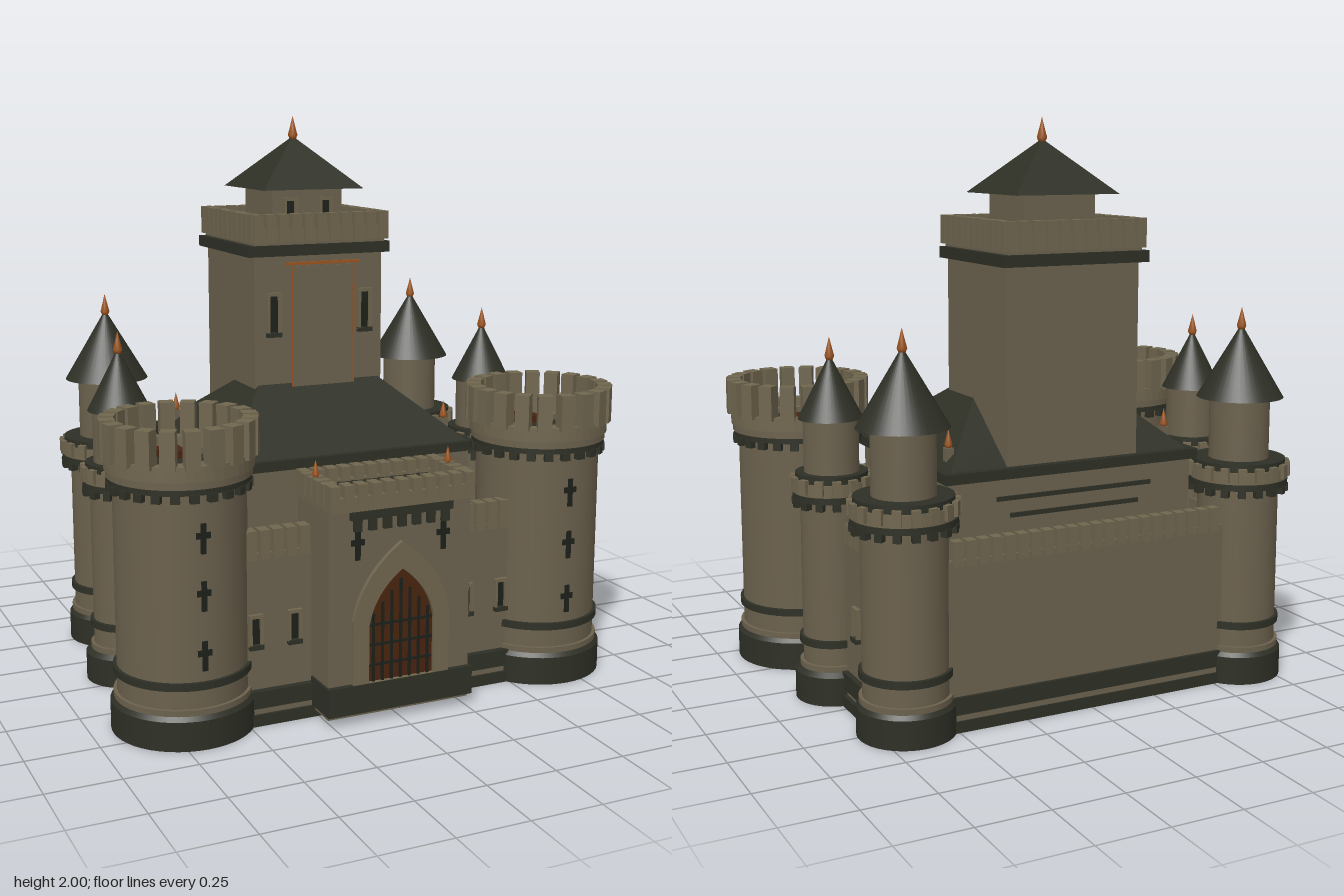
import * as THREE from 'three';

const mat = (name, color) => Object.assign(new THREE.MeshStandardMaterial({ color }), { name });
const stone = mat('stone', 0x6b614d);
const trim = mat('pale stone', 0x70664f);
const slate = mat('slate', 0x2e3026);
const slit = mat('shadow slit', 0x1d201a);
const wood = mat('wood', 0x4a2410);
const copper = mat('copper', 0x9c5520);

function add(parent, name, geo, material, x = 0, y = 0, z = 0, ry = 0) {
  const m = new THREE.Mesh(geo, material);
  m.name = name;
  m.position.set(x, y, z);
  m.rotation.y = ry;
  parent.add(m);
  return m;
}

// box given by its limits on each axis
function box(parent, name, material, x0, x1, y0, y1, z0, z1) {
  return add(parent, name, new THREE.BoxGeometry(x1 - x0, y1 - y0, z1 - z0), material,
    (x0 + x1) / 2, (y0 + y1) / 2, (z0 + z1) / 2);
}

function drum(parent, name, material, r, y0, y1, rTop = r) {
  return add(parent, name, new THREE.CylinderGeometry(rTop, r, y1 - y0, 48), material, 0, (y0 + y1) / 2, 0);
}

// hollow ring with a square section
function ring(parent, name, material, r0, r1, y0, y1) {
  const s = new THREE.Shape().absarc(0, 0, r1, 0, Math.PI * 2);
  s.holes.push(new THREE.Path().absarc(0, 0, r0, 0, Math.PI * 2, true));
  const g = new THREE.ExtrudeGeometry(s, { depth: y1 - y0, bevelEnabled: false, curveSegments: 24 });
  add(parent, name, g.rotateX(-Math.PI / 2), material, 0, y0, 0);
}

function blockRing(parent, name, material, n, r, w, d, y0, y1) {
  for (let i = 0; i < n; i++) {
    const a = ((i + 0.5) / n) * Math.PI * 2;
    add(parent, name, new THREE.BoxGeometry(w, y1 - y0, d), material, Math.sin(a) * r, (y0 + y1) / 2, Math.cos(a) * r, a);
  }
}

// row of blocks between two ground points
function blockRow(parent, name, material, [xa, za], [xb, zb], n, w, d, y0, y1) {
  const ry = Math.atan2(-(zb - za), xb - xa);
  for (let i = 0; i < n; i++) {
    const t = (i + 0.5) / n;
    add(parent, name, new THREE.BoxGeometry(w, y1 - y0, d), material, xa + (xb - xa) * t, (y0 + y1) / 2, za + (zb - za) * t, ry);
  }
}

function finial(parent, x, y, z, h) {
  const p = [[0, 0], [0.13, 0.06], [0.2, 0.22], [0.1, 0.6], [0, 1]].map(([r, t]) => new THREE.Vector2(r * h, t * h));
  add(parent, 'finial', new THREE.LatheGeometry(p, 12), copper, x, y, z);
}

function crossLoop(parent, x, y, z, h) {
  box(parent, 'crossLoop', slit, x - 0.009, x + 0.009, y - h / 2, y + h / 2, z - 0.004, z + 0.005);
  box(parent, 'crossLoop', slit, x - 0.024, x + 0.024, y, y + 0.02, z - 0.004, z + 0.004);
}

// narrow framed window with a sill, turned about its own centre
function slitWindow(parent, x, y, z, w, h, ry = 0) {
  const g = new THREE.Group();
  g.name = 'slitWindow';
  g.position.set(x, y, z);
  g.rotation.y = ry;
  parent.add(g);
  for (const s of [-1, 1]) box(g, 'windowJamb', trim, s * w * 0.4 - w * 0.1, s * w * 0.4 + w * 0.1, -h / 2, h / 2, -0.005, 0.016);
  box(g, 'windowLintel', trim, -w / 2, w / 2, h / 2 - 0.012, h / 2, -0.005, 0.016);
  box(g, 'windowSill', slate, -w / 2, w / 2, -h / 2 - 0.01, -h / 2 + 0.006, -0.005, 0.02);
  box(g, 'windowOpening', slit, -w * 0.3, w * 0.3, -h / 2, h / 2 - 0.012, -0.004, 0.004);
}

function towerFoot(g, r, rBase) {
  drum(g, 'towerBase', slate, rBase, 0, 0.1);
  drum(g, 'towerBaseCourse', slate, rBase, 0.1, 0.115, r + 0.012);
  drum(g, 'towerFootRing', stone, r + 0.012, 0.1, 0.135);
  drum(g, 'towerBand', slate, r + 0.012, 0.2, 0.225);
}

function frontTower(g) {
  towerFoot(g, 0.22, 0.243);
  drum(g, 'towerBody', stone, 0.22, 0.1, 0.86);
  drum(g, 'corbelRing', slate, 0.236, 0.845, 0.865);
  blockRing(g, 'corbel', slate, 24, 0.226, 0.03, 0.03, 0.82, 0.847);
  drum(g, 'galleryFloor', stone, 0.24, 0.865, 0.89);
  ring(g, 'parapet', trim, 0.205, 0.246, 0.89, 0.94);
  blockRing(g, 'merlon', trim, 20, 0.234, 0.05, 0.052, 0.93, 1.055);
  drum(g, 'deck', slate, 0.206, 0.88, 0.9);
  for (const s of [-1, 1]) box(g, 'deckKerb', trim, s * 0.125 - 0.018, s * 0.125 + 0.018, 0.89, 0.92, -0.09, 0.13);
  box(g, 'deckKerb', trim, -0.143, 0.143, 0.89, 0.92, 0.1, 0.13);
  box(g, 'hatch', wood, -0.042, 0.042, 0.89, 0.925, -0.14, -0.04);
  for (const y of [0.31, 0.51, 0.7]) crossLoop(g, 0, y, 0.22, 0.1);
}

function roundTower(g, r, rBase, rGal, rDrum, rCone, yCone, yTip, n) {
  towerFoot(g, r, rBase);
  drum(g, 'towerBody', stone, r, 0.1, 0.74);
  drum(g, 'corbelRing', slate, rGal - 0.008, 0.71, 0.732);
  blockRing(g, 'corbel', slate, n, rGal - 0.018, 0.026, 0.026, 0.685, 0.712);
  drum(g, 'gallery', trim, rGal - 0.012, 0.732, 0.775);
  blockRing(g, 'galleryMerlon', trim, n, rGal - 0.012, 0.03, 0.024, 0.74, 0.79);
  drum(g, 'galleryRoof', slate, rGal - 0.018, 0.775, 0.802);
  drum(g, 'upperDrum', stone, rDrum, 0.8, yCone + 0.01);
  add(g, 'coneRoof', new THREE.ConeGeometry(rCone, yTip - yCone, 40), slate, 0, (yCone + yTip) / 2, 0);
  finial(g, 0, yTip - 0.025, 0, 0.085);
}

// four-sided roof from a lower to an upper rectangle
function hipRoof(parent, name, [x, z0, z1, y0], [tx, tz0, tz1, y1]) {
  const lo = [[-x, y0, z1], [x, y0, z1], [x, y0, z0], [-x, y0, z0]];
  const hi = [[-tx, y1, tz1], [tx, y1, tz1], [tx, y1, tz0], [-tx, y1, tz0]];
  const v = [];
  for (let i = 0; i < 4; i++) {
    const j = (i + 1) % 4;
    v.push(...lo[i], ...lo[j], ...hi[j], ...lo[i], ...hi[j], ...hi[i]);
  }
  v.push(...hi[0], ...hi[1], ...hi[2], ...hi[0], ...hi[2], ...hi[3]);
  v.push(...lo[0], ...lo[2], ...lo[1], ...lo[0], ...lo[3], ...lo[2]);
  const g = new THREE.BufferGeometry();
  g.setAttribute('position', new THREE.Float32BufferAttribute(v, 3));
  g.computeVertexNormals();
  add(parent, name, g, slate);
}

// pointed arch outline
function arch(path, w, y0, ys, yt) {
  path.moveTo(-w, y0);
  path.lineTo(w, y0);
  path.lineTo(w, ys);
  path.quadraticCurveTo(w * 0.85, ys + (yt - ys) * 0.6, 0, yt);
  path.quadraticCurveTo(-w * 0.85, ys + (yt - ys) * 0.6, -w, ys);
  path.lineTo(-w, y0);
  return path;
}
const slab = (s, depth) => new THREE.ExtrudeGeometry(s, { depth, bevelEnabled: false, curveSegments: 12 });

export function createModel() {
  const root = new THREE.Group();
  root.name = 'castle';
  const group = (name, x = 0, z = 0) => {
    const g = new THREE.Group();
    g.name = name;
    g.position.set(x, 0, z);
    root.add(g);
    return g;
  };

  // plinth
  const base = group('plinth');
  box(base, 'footing', slate, -0.76, 0.76, 0, 0.04, -0.615, 0.56);
  box(base, 'footingCourse', stone, -0.745, 0.745, 0.04, 0.06, -0.61, 0.55);
  box(base, 'courtyard', slate, -0.755, 0.755, 0.06, 0.12, -0.612, 0.555);

  // round towers
  for (const s of [-1, 1]) {
    frontTower(group('frontTower', s * 0.685, 0.415));
    roundTower(group('rearTower', s * 0.65, -0.518), 0.144, 0.166, 0.184, 0.107, 0.154, 1.02, 1.28, 18);
    roundTower(group('middleTower', s * 0.735, -0.08), 0.11, 0.14, 0.143, 0.095, 0.112, 0.985, 1.205, 14);
  }

  // curtain walls
  const walls = group('curtainWalls');
  box(walls, 'backWall', stone, -0.6, 0.6, 0.1, 0.58, -0.6, -0.535);
  blockRow(walls, 'merlon', trim, [-0.52, -0.585], [0.52, -0.585], 22, 0.034, 0.04, 0.56, 0.645);
  for (const s of [-1, 1]) {
    box(walls, 'sideWall', stone, s * 0.705 - 0.03, s * 0.705 + 0.03, 0.1, 0.57, -0.45, 0.3);
    blockRow(walls, 'merlon', trim, [s * 0.71, -0.4], [s * 0.71, 0.24], 13, 0.036, 0.05, 0.55, 0.64);
    box(walls, 'frontWall', stone, s * 0.385 - 0.165, s * 0.385 + 0.165, 0.1, 0.59, 0.475, 0.53);
    blockRow(walls, 'merlon', trim, [s * 0.265, 0.51], [s * 0.505, 0.51], 5, 0.036, 0.05, 0.57, 0.67);
    for (const x of [0.33, 0.47]) slitWindow(walls, s * x, 0.33, 0.53, 0.05, 0.11);
    for (const z of [0.07, -0.31]) slitWindow(walls, s * 0.735, 0.32, z, 0.05, 0.11, s * Math.PI / 2);
  }

  // great hall
  const hall = group('greatHall');
  box(hall, 'hallBody', stone, -0.465, 0.465, 0.1, 0.81, -0.48, 0.3);
  box(hall, 'eaves', slate, -0.49, 0.49, 0.805, 0.84, -0.495, 0.315);
  hipRoof(hall, 'hallRoof', [0.465, -0.47, 0.3, 0.835], [0.235, -0.18, 0, 1.05]);
  box(hall, 'rearCourse', slate, -0.3, 0.3, 0.73, 0.745, -0.488, -0.47);
  box(hall, 'rearCourse', slate, -0.25, 0.25, 0.67, 0.685, -0.488, -0.47);
  box(hall, 'gateLink', stone, -0.19, 0.19, 0.1, 0.6, 0.28, 0.44);
  box(hall, 'gateLinkRoof', slate, -0.2, 0.2, 0.6, 0.62, 0.28, 0.44);
  for (const s of [-1, 1]) for (const z of [-0.37, 0.18]) {
    box(hall, 'finialPost', stone, s * 0.425 - 0.014, s * 0.425 + 0.014, 0.83, 0.905, z - 0.014, z + 0.014);
    finial(hall, s * 0.425, 0.9, z, 0.07);
  }

  // square keep
  const keep = group('keep', 0, -0.23);
  box(keep, 'keepBody', stone, -0.252, 0.252, 0.8, 1.52, -0.235, 0.235);
  box(keep, 'keepCornice', slate, -0.278, 0.278, 1.51, 1.55, -0.262, 0.25);
  box(keep, 'keepDeck', stone, -0.255, 0.255, 1.55, 1.575, -0.25, 0.25);
  for (const s of [-1, 1]) {
    box(keep, 'keepParapet', trim, -0.255, 0.255, 1.56, 1.61, s * 0.24 - 0.015, s * 0.24 + 0.015);
    box(keep, 'keepParapet', trim, s * 0.24 - 0.015, s * 0.24 + 0.015, 1.56, 1.61, -0.25, 0.25);
    blockRow(keep, 'merlon', trim, [-0.27, s * 0.245], [0.27, s * 0.245], 11, 0.036, 0.042, 1.56, 1.66);
    blockRow(keep, 'merlon', trim, [s * 0.25, -0.26], [s * 0.25, 0.26], 11, 0.036, 0.042, 1.56, 1.66);
    slitWindow(keep, s * 0.18, 1.305, 0.235, 0.055, 0.15);
    slitWindow(keep, s * 0.07, 1.665, 0.132, 0.055, 0.09);
    box(keep, 'bannerEdge', copper, s * 0.12 - 0.003, s * 0.12 + 0.003, 1.04, 1.475, 0.271, 0.277);
  }
  box(keep, 'banner', stone, -0.12, 0.12, 1.04, 1.475, 0.27, 0.275);
  box(keep, 'bannerRod', copper, -0.145, 0.145, 1.48, 1.49, 0.268, 0.278);
  box(keep, 'lanternRoom', stone, -0.138, 0.138, 1.57, 1.75, -0.13, 0.132);
  hipRoof(keep, 'keepRoof', [0.197, -0.195, 0.195, 1.74], [0.001, -0.001, 0.001, 1.925]);
  finial(keep, 0, 1.91, 0, 0.09);

  // gatehouse
  const gate = group('gatehouse');
  box(gate, 'gateBody', stone, -0.265, 0.265, 0.025, 0.775, 0.42, 0.665);
  box(gate, 'gateStep', slate, -0.272, 0.272, 0.04, 0.14, 0.54, 0.685);
  box(gate, 'gateDeck', slate, -0.21, 0.21, 0.77, 0.782, 0.44, 0.64);
  const frame = arch(new THREE.Shape(), 0.18, 0.14, 0.36, 0.62);
  frame.holes.push(arch(new THREE.Path(), 0.122, 0.141, 0.34, 0.525));
  add(gate, 'archFrame', slab(frame, 0.02), trim, 0, 0, 0.662);
  add(gate, 'gateDoor', slab(arch(new THREE.Shape(), 0.124, 0.14, 0.34, 0.527), 0.006), wood, 0, 0, 0.662);
  for (let i = -3; i <= 3; i++) {
    box(gate, 'portcullisBar', slit, i * 0.034 - 0.004, i * 0.034 + 0.004, 0.14, 0.49 - Math.abs(i) * 0.037, 0.667, 0.676);
  }
  for (const y of [0.2, 0.27, 0.34]) box(gate, 'portcullisBar', slit, -0.118, 0.118, y - 0.004, y + 0.004, 0.667, 0.675);
  box(gate, 'corbelBand', slate, -0.19, 0.19, 0.71, 0.74, 0.65, 0.682);
  blockRow(gate, 'corbel', slate, [-0.19, 0.67], [0.19, 0.67], 7, 0.028, 0.022, 0.67, 0.712);
  for (const z of [0.43, 0.665]) {
    box(gate, 'gateParapet', trim, -0.265, 0.265, 0.74, 0.79, z - 0.02, z + 0.02);
    blockRow(gate, 'merlon', trim, [-0.275, z], [0.275, z], 11, 0.034, 0.05, 0.76, 0.832);
  }
  for (const s of [-1, 1]) {
    box(gate, 'gateParapet', trim, s * 0.245 - 0.022, s * 0.245 + 0.022, 0.74, 0.79, 0.42, 0.67);
    blockRow(gate, 'merlon', trim, [s * 0.248, 0.45], [s * 0.248, 0.65], 4, 0.034, 0.05, 0.76, 0.832);
    crossLoop(gate, s * 0.16, 0.62, 0.667, 0.1);
    finial(gate, s * 0.25, 0.825, 0.53, 0.065);
  }
  return root;
}
